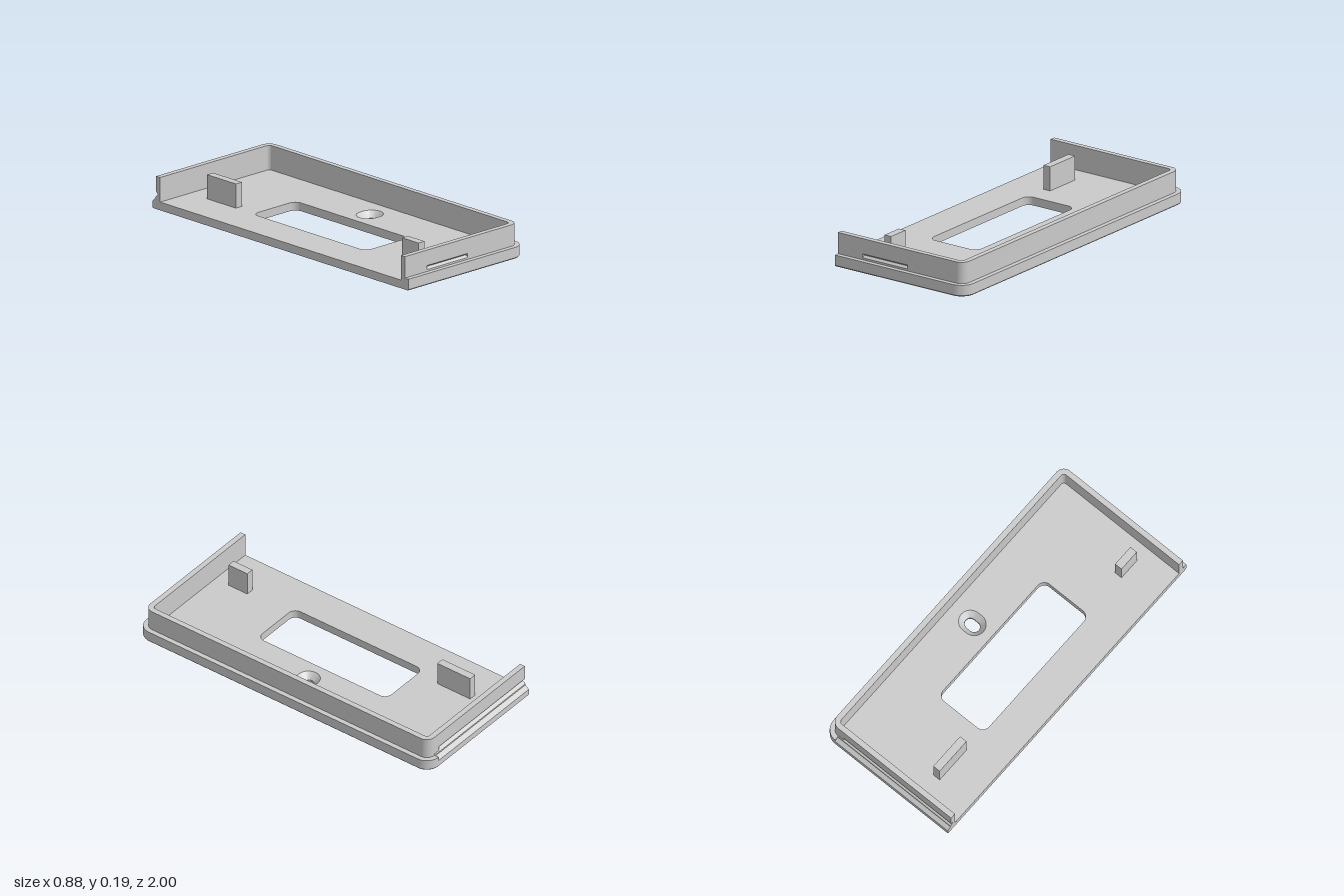
import * as THREE from 'three';
import { toCreasedNormals } from 'three/addons/utils/BufferGeometryUtils.js';

const FLOOR = 0.047, TOP = 0.187, OPEN_X = -0.44;

// Stations are [x, z, nx, nz]: a point on the core path and its outward direction.
function arc(cx, cz, from, to, steps = 12) {
  const out = [];
  for (let i = 0; i <= steps; i++) {
    const a = from + (to - from) * i / steps;
    out.push([cx, cz, Math.cos(a), Math.sin(a)]);
  }
  return out;
}

// Sweeps a closed profile of [offset, y] points along the stations.
function sweep(profile, stations, closed = false) {
  const pos = [], n = profile.length, m = stations.length;
  const at = (s, p) => [s[0] + s[2] * p[0], p[1], s[1] + s[3] * p[0]];
  const tri = (a, b, c) => pos.push(...a, ...b, ...c);
  for (let i = 0; i < (closed ? m : m - 1); i++) {
    const s = stations[i], t = stations[(i + 1) % m];
    for (let j = 0; j < n; j++) {
      const p = profile[j], q = profile[(j + 1) % n];
      tri(at(s, p), at(s, q), at(t, p));
      tri(at(s, q), at(t, q), at(t, p));
    }
  }
  if (!closed) {
    const faces = THREE.ShapeUtils.triangulateShape(profile.map(p => new THREE.Vector2(...p)), []);
    const a = stations[0], b = stations[m - 1];
    for (const [i, j, k] of faces) {
      tri(at(b, profile[i]), at(b, profile[j]), at(b, profile[k]));
      tri(at(a, profile[k]), at(a, profile[j]), at(a, profile[i]));
    }
  }
  const geo = new THREE.BufferGeometry();
  geo.setAttribute('position', new THREE.Float32BufferAttribute(pos, 3));
  return toCreasedNormals(geo, 0.4);
}

// Outline points of a path at a given offset, as 2D shape points.
const outline = (stations, d) =>
  stations.map(([x, z, nx, nz]) => new THREE.Vector2(x + nx * d, -(z + nz * d)));

export function createModel() {
  const group = new THREE.Group();
  const grey = new THREE.MeshStandardMaterial({ color: 0xcacaca });
  grey.name = 'grey plastic';
  const add = (name, geo, x = 0, y = 0, z = 0) => {
    const mesh = new THREE.Mesh(geo, grey);
    mesh.name = name;
    mesh.position.set(x, y, z);
    group.add(mesh);
  };
  const H = Math.PI / 2, CX = 0.36, CZ = 0.92;
  const front = x => [x, CZ, 0, 1], back = x => [x, -CZ, 0, -1];
  const corners = [...arc(CX, -CZ, -H, 0), ...arc(CX, CZ, 0, H)];

  // Paths of the countersunk screw hole and of the rounded window
  const stadium = [...arc(0.245, 0, -H, H), ...arc(0.2175, 0, H, 3 * H)];
  const windowPath = [
    ...arc(0.055, -0.398, -H, 0), ...arc(0.055, 0.395, 0, H),
    ...arc(-0.179, 0.395, H, 2 * H), ...arc(-0.179, -0.398, 2 * H, 3 * H),
  ];

  // Floor plate, open along one long side; holes run opposite to the outline
  const floor = new THREE.Shape(outline([back(OPEN_X), ...corners, front(OPEN_X)], 0.02));
  floor.holes.push(new THREE.Path(outline(windowPath, 0.045).reverse()));
  floor.holes.push(new THREE.Path(outline(stadium, 0.065).reverse()));
  const floorGeo = new THREE.ExtrudeGeometry(floor, { depth: FLOOR, bevelEnabled: false });
  floorGeo.rotateX(-H);
  add('floor', toCreasedNormals(floorGeo, 0.4));

  // Countersink inside the screw hole
  add('countersink', sweep([[0.032, 0], [0.065, 0], [0.065, FLOOR], [0.032, 0.012]], stadium, true));

  // Rim profiles: stepped lip with chamfered foot, and the wall above it
  const foot = [[0.02, 0], [0.075, 0], [0.08, 0.006]];
  const lip = [[0.08, 0.065], [0.052, 0.065]];
  const cutLip = [[0.08, 0.042], [0.057, 0.062], [0.057, 0.07]];
  const wallTop = [[0.052, TOP], [0.02, TOP]];
  const plain = [...foot, ...lip, ...wallTop];
  const notched = [...foot, ...lip, [0.052, 0.076], [0.038, 0.088], [0.052, 0.099], ...wallTop];
  const bevelled = [...foot, ...cutLip, [0.052, 0.074], ...wallTop];
  const grooved = [...foot, ...cutLip, [0.037, 0.086], [0.052, 0.1], ...wallTop];

  add('backWallGrooved', sweep(grooved, [back(OPEN_X), back(0.32)]));
  add('backWallEnd', sweep(bevelled, [back(0.32), back(CX)]));
  add('sideWall', sweep(plain, [...corners, front(0.032)]));
  add('frontWallSlot', sweep(notched, [front(0.032), front(-0.272)]));
  add('frontWallEnd', sweep(plain, [front(-0.272), front(OPEN_X)]));

  // Upright posts on the floor
  for (const [name, z0, z1] of [['backPost', -0.805, -0.58], ['frontPost', 0.72, 0.848]]) {
    const h = 0.185 - FLOOR;
    add(name, new THREE.BoxGeometry(0.045, h, z1 - z0), -0.195, FLOOR + h / 2, (z0 + z1) / 2);
  }

  // Round pads, just proud of the underside
  for (const z of [-0.81, 0.81]) {
    add('bottomPad', new THREE.CylinderGeometry(0.107, 0.107, 0.004, 48), 0.26, 0.0012, z);
  }

  group.position.y = 0.0008;
  return group;
}
